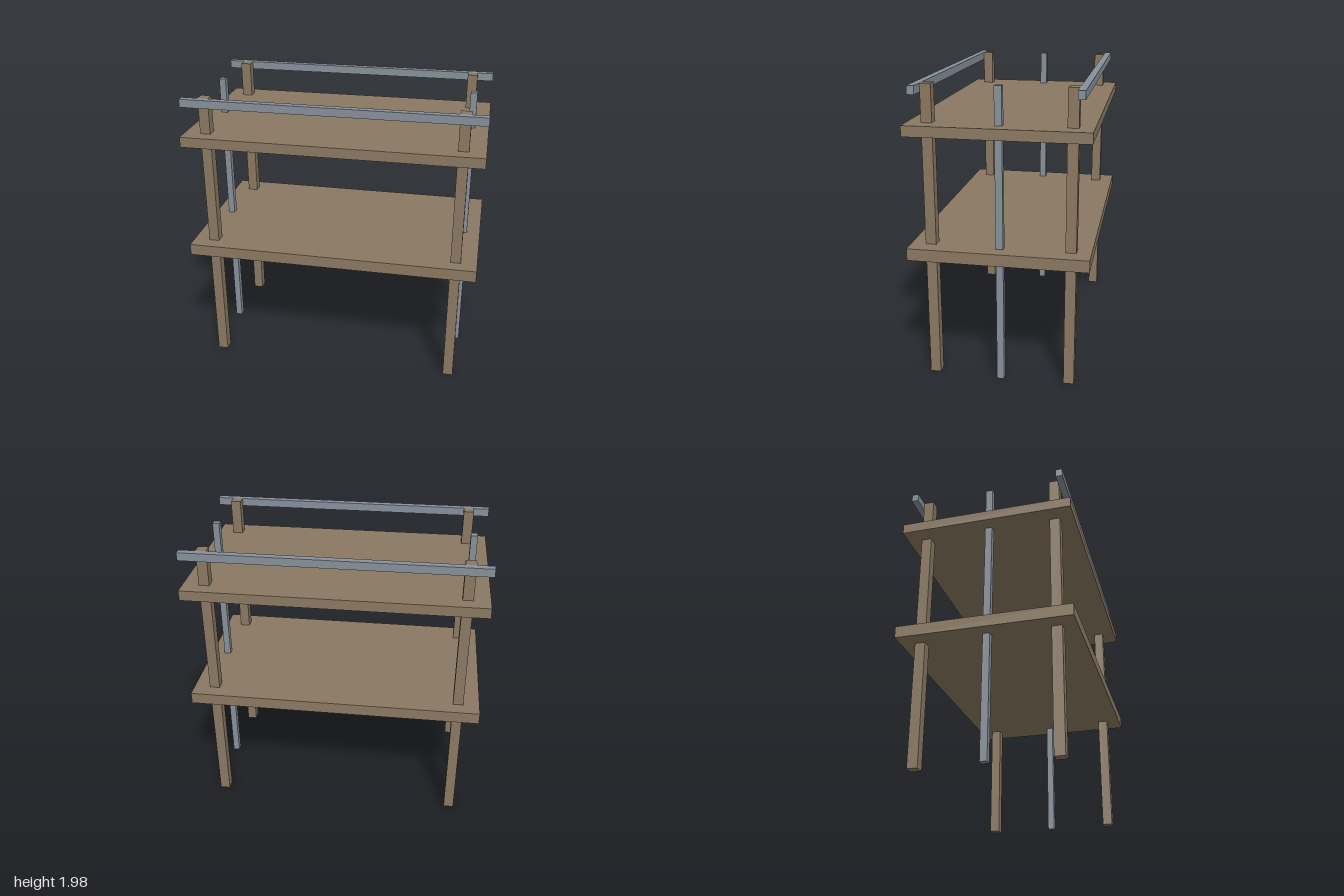
import * as THREE from 'three';

export function createModel() {
  const model = new THREE.Group();
  model.name = 'twoTierRack';

  const wood = new THREE.MeshStandardMaterial({ color: 0x8a7962 });
  wood.name = 'brownWood';
  const metal = new THREE.MeshStandardMaterial({ color: 0x87909a });
  metal.name = 'greyMetal';

  const HEIGHT = 1.975;

  // Box given by its size, centre in x and z, and bottom height
  function addBox(name, material, [w, h, d], x, bottom, z) {
    const mesh = new THREE.Mesh(new THREE.BoxGeometry(w, h, d), material);
    mesh.name = name;
    mesh.position.set(x, bottom + h / 2, z);
    model.add(mesh);
  }

  // Two platforms
  addBox('lowerPlatform', wood, [2, 0.08, 1.175], 0, 0.85, 0);
  addBox('upperPlatform', wood, [2, 0.07, 1.175], 0, 1.66, 0);

  for (const sx of [1, -1]) {
    const side = sx > 0 ? 'Left' : 'Right';
    // Wooden corner posts
    for (const sz of [1, -1]) {
      const end = sz > 0 ? 'front' : 'back';
      addBox(`${end}${side}Post`, wood, [0.07, HEIGHT, 0.07], sx * 0.855, 0, sz * 0.457);
    }
    // Slim metal pole halfway along each short side
    addBox(`middle${side}Pole`, metal, [0.046, HEIGHT, 0.048], sx * 0.884, 0, 0);
  }

  // Metal rails fixed to the outside of the posts
  for (const sz of [1, -1]) {
    addBox(sz > 0 ? 'frontRail' : 'backRail', metal, [2, 0.055, 0.047], 0, HEIGHT - 0.055, sz * 0.5155);
  }

  return model;
}
